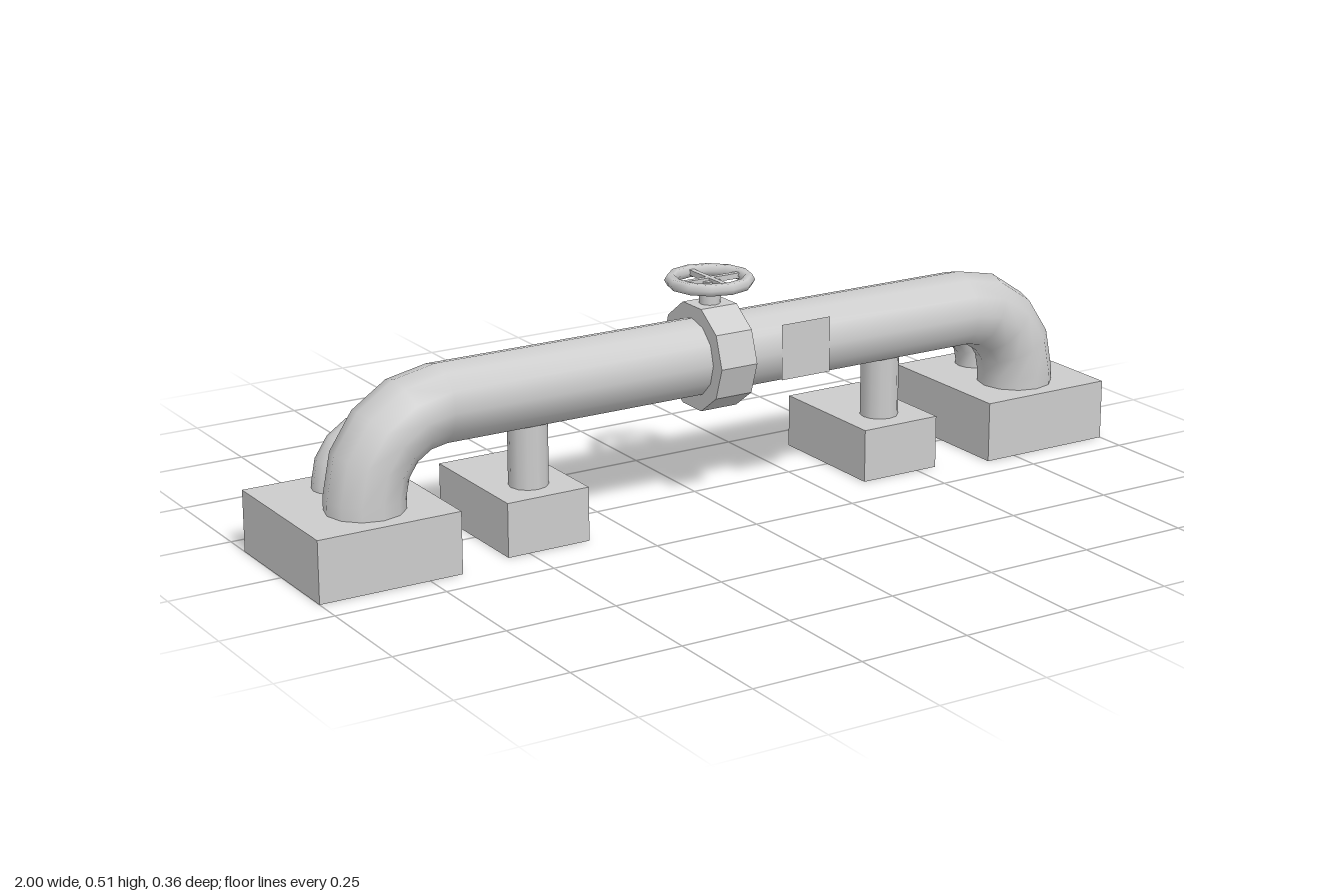
import * as THREE from 'three';

const steel = new THREE.MeshStandardMaterial({ color: 0xcccccc, side: THREE.DoubleSide });
steel.name = 'light grey';
const facetedSteel = steel.clone();
facetedSteel.flatShading = true;

function add(parent, name, geometry, x = 0, y = 0, z = 0, material = steel) {
  const mesh = new THREE.Mesh(geometry, material);
  mesh.name = name;
  mesh.position.set(x, y, z);
  parent.add(mesh);
  return mesh;
}

// Round pipe with a quarter bend at both ends, running down into the bases
function bentPipe(halfSpan, height, bend, radius, footY, sides = 12, steps = 4) {
  const half = [[halfSpan, footY, 0]]; // x, y, angle of the outward direction
  for (let i = 0; i <= steps; i++) {
    const a = (i / steps) * Math.PI / 2;
    half.push([halfSpan - bend + bend * Math.cos(a), height - bend + bend * Math.sin(a), a]);
  }
  const path = [...half, ...half.slice().reverse().map(([x, y, a]) => [-x, y, Math.PI - a])];
  const positions = [], index = [];
  path.forEach(([x, y, a], i) => {
    for (let j = 0; j < sides; j++) {
      const t = (j / sides) * Math.PI * 2;
      const out = radius * Math.cos(t);
      positions.push(x + out * Math.cos(a), y + out * Math.sin(a), radius * Math.sin(t));
      if (i < path.length - 1) {
        const k = (j + 1) % sides, p = i * sides, q = p + sides;
        index.push(p + j, q + j, p + k, p + k, q + j, q + k);
      }
    }
  });
  const g = new THREE.BufferGeometry();
  g.setAttribute('position', new THREE.Float32BufferAttribute(positions, 3));
  g.setIndex(index);
  g.computeVertexNormals();
  return g;
}

export function createModel() {
  const model = new THREE.Group();
  model.name = 'pipeline';
  const mainZ = 0.061, mainY = 0.335;

  // Pipes
  add(model, 'mainPipe', bentPipe(0.835, mainY, 0.17, 0.086, 0.12), 0, 0, mainZ);
  add(model, 'smallPipe', bentPipe(0.835, 0.248, 0.1, 0.043, 0.12), 0, 0, -0.094);

  // End blocks, middle blocks and posts
  for (const s of [-1, 1]) {
    add(model, 'endBase', new THREE.BoxGeometry(0.325, 0.137, 0.36), s * 0.8375, 0.0685, 0);
    add(model, 'supportBase', new THREE.BoxGeometry(0.195, 0.12, 0.304), s * 0.4525, 0.06, -0.005);
    add(model, 'supportPost', new THREE.CylinderGeometry(0.043, 0.043, 0.17, 12), s * 0.4525, 0.195, mainZ);
  }

  // Valve collar: ten-sided, axis along the pipe
  const collar = new THREE.CylinderGeometry(0.12, 0.12, 0.09, 10);
  collar.rotateZ(Math.PI / 2);
  add(model, 'valveCollar', collar, 0, mainY, mainZ, facetedSteel);

  // Handwheel with stem and crossed spokes
  const valve = new THREE.Group();
  valve.name = 'handwheel';
  valve.position.set(0, 0.5, mainZ);
  model.add(valve);
  add(valve, 'stem', new THREE.CylinderGeometry(0.023, 0.023, 0.1, 12), 0, -0.05, 0);
  const rim = new THREE.TorusGeometry(0.084, 0.014, 6, 12);
  rim.rotateX(Math.PI / 2);
  add(valve, 'wheelRim', rim);
  for (const turn of [0, Math.PI / 2]) {
    add(valve, 'spoke', new THREE.BoxGeometry(0.165, 0.012, 0.012)).rotation.y = turn;
  }

  // Blank sign plate touching the front of the main pipe
  add(model, 'signPlate', new THREE.PlaneGeometry(0.125, 0.125), 0.193, 0.337, mainZ + 0.0865);

  return model;
}
